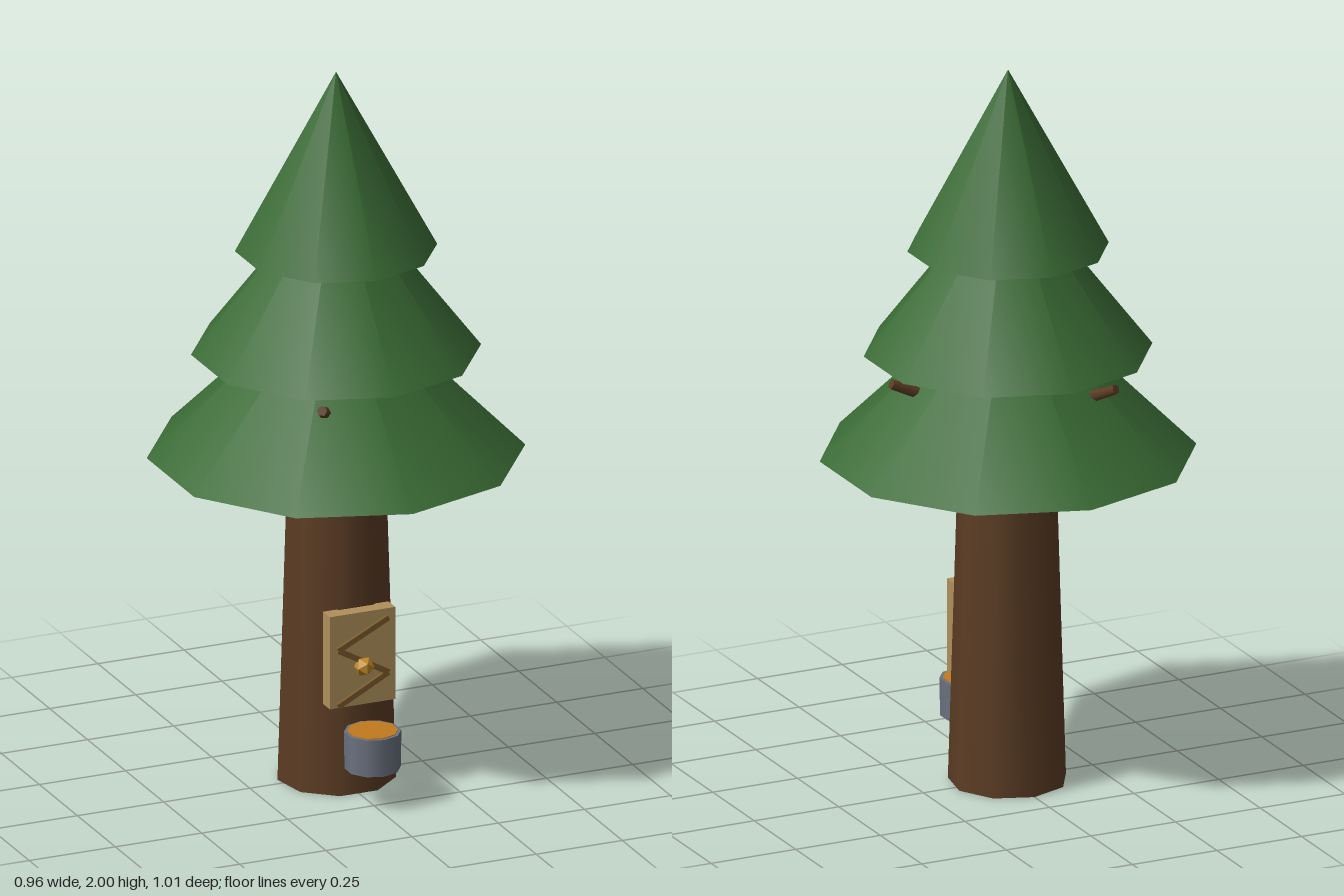
import * as THREE from 'three';

const mat = (color) => new THREE.MeshStandardMaterial({ color });

export function createModel() {
  const model = new THREE.Group();
  const bark = mat(0x5c3d24), needles = mat(0x3a6b35), wood = mat(0xb0905a);
  const groove = mat(0x7a5a2c), gold = mat(0xc08a28), metal = mat(0x6b7280), syrup = mat(0xc07a1c);

  const add = (name, geometry, material, x = 0, y = 0, z = 0) => {
    const mesh = new THREE.Mesh(geometry, material);
    mesh.name = name;
    mesh.position.set(x, y, z);
    model.add(mesh);
    return mesh;
  };

  // Nine-sided tapering trunk with a flat side facing the front
  add('trunk', new THREE.CylinderGeometry(0.13, 0.16, 1, 9, 1, false, Math.PI), bark, 0, 0.5, 0);

  // Three stacked tiers of foliage
  [[0.505, 0.92], [0.387, 1.21], [0.27, 1.5]].forEach(([radius, base], i) => {
    add(`foliageTier${i + 1}`, new THREE.ConeGeometry(radius, 0.5, 10), needles, 0, base + 0.25, 0);
  });

  // Three broken branch stubs, rising outward
  const up = new THREE.Vector3(0, 1, 0);
  for (let i = 0; i < 3; i++) {
    const a = (i * Math.PI * 2) / 3, tilt = 0.43;
    const dir = new THREE.Vector3(Math.cos(a) * Math.cos(tilt), Math.sin(tilt), Math.sin(a) * Math.cos(tilt));
    const stub = add(`branchStub${i + 1}`, new THREE.CylinderGeometry(0.014, 0.019, 0.14, 6), bark);
    stub.position.set(Math.cos(a) * 0.345, 1.167, Math.sin(a) * 0.345).addScaledVector(dir, -0.07);
    stub.quaternion.setFromUnitVectors(up, dir);
  }

  // Wooden board on the front of the trunk
  add('board', new THREE.BoxGeometry(0.19, 0.262, 0.045), wood, 0, 0.393, 0.152);

  // Zigzag channel made of three thin bars
  const zigzag = [[0.073, 0.5], [-0.073, 0.427], [0.073, 0.345], [-0.073, 0.268]];
  for (let i = 0; i < 3; i++) {
    const [x0, y0] = zigzag[i], [x1, y1] = zigzag[i + 1];
    const bar = add(`channel${i + 1}`, new THREE.BoxGeometry(Math.hypot(x1 - x0, y1 - y0), 0.015, 0.012),
      groove, (x0 + x1) / 2, (y0 + y1) / 2, 0.178);
    bar.rotation.z = Math.atan2(y0 - y1, x0 - x1);
  }

  // Faceted amber drop
  const drop = add('drop', new THREE.IcosahedronGeometry(0.028, 0), gold, 0, 0.373, 0.185);
  drop.material.flatShading = true;

  // Bucket filled with syrup
  add('bucket', new THREE.CylinderGeometry(0.077, 0.075, 0.105, 10), metal, 0, 0.158, 0.241);
  add('syrup', new THREE.CylinderGeometry(0.068, 0.068, 0.01, 10), syrup, 0, 0.2075, 0.241);

  return model;
}
